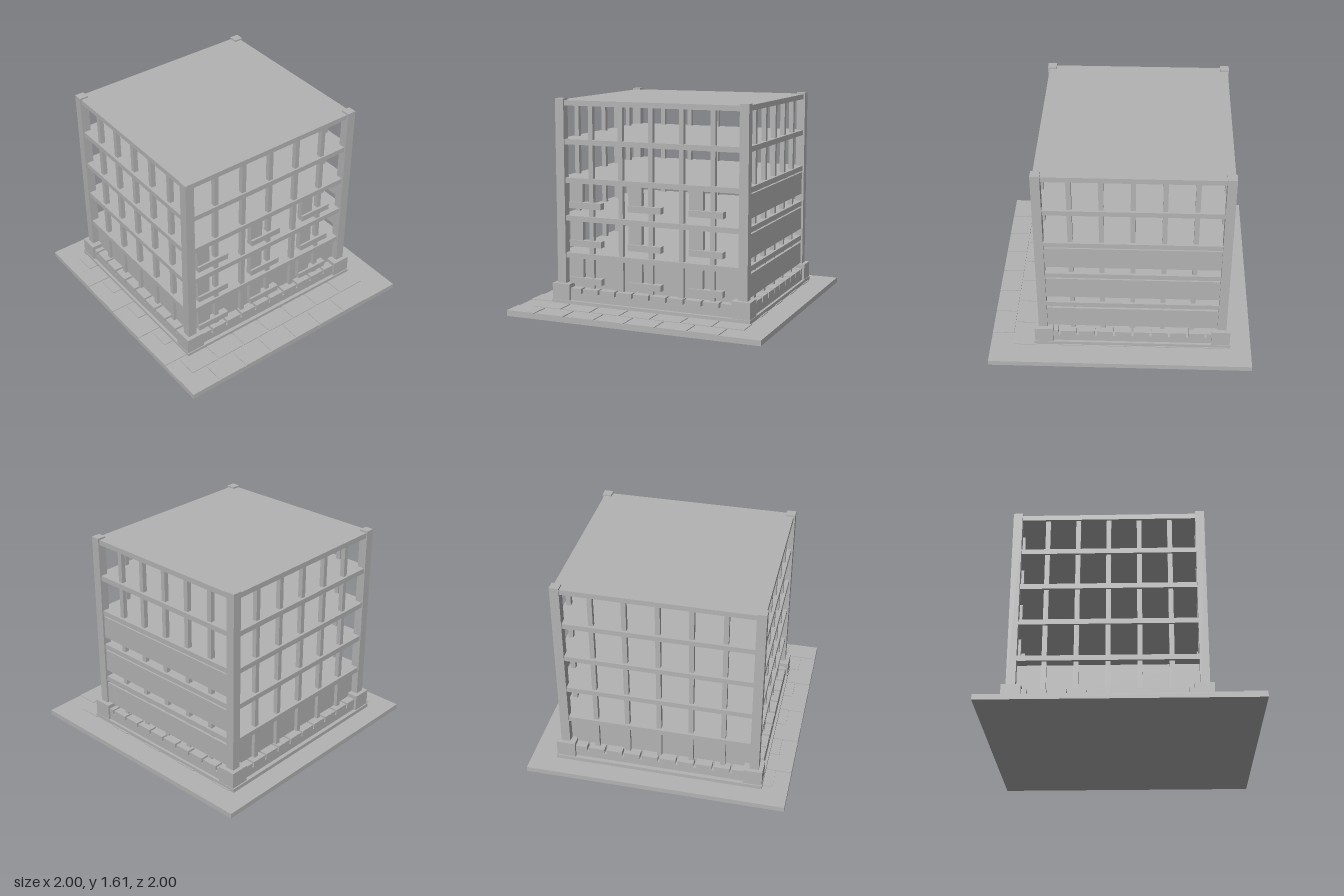
import * as THREE from 'three';

export function createModel() {
  const model = new THREE.Group();
  model.name = 'concreteFrameBuilding';
  const concrete = new THREE.MeshStandardMaterial({ color: 0xb3b3b3 });
  concrete.name = 'concrete grey';

  // Box from its minimum and maximum corners
  function box(name, x0, x1, y0, y1, z0, z1, parent = model) {
    const mesh = new THREE.Mesh(new THREE.BoxGeometry(x1 - x0, y1 - y0, z1 - z0), concrete);
    mesh.position.set((x0 + x1) / 2, (y0 + y1) / 2, (z0 + z1) / 2);
    mesh.name = name;
    parent.add(mesh);
  }
  function group(name) {
    const g = new THREE.Group();
    g.name = name;
    model.add(g);
    return g;
  }

  const cz = -0.09; // building centre along z

  // Ground plate with staggered paving
  box('groundPlate', -1, 1, 0, 0.04, -1, 1);
  const paving = group('paving');
  for (let row = 0; row < 10; row++) {
    const z = 1 - row * 0.182;
    for (let i = 0; i < 7; i++) {
      const x = -1 + (row % 2) * 0.122 + i * 0.244;
      box('paver', x, x + 0.229, 0.038, 0.046, z - 0.166, z, paving);
    }
  }

  // Plinth, corner blocks and columns
  box('plinth', -0.805, 0.805, 0.04, 0.07, -0.845, 0.663);
  for (const sx of [-1, 1]) {
    for (const sz of [-1, 1]) {
      const bx = sx * 0.729, bz = cz + sz * 0.675;
      box('cornerBlock', bx - 0.073, bx + 0.073, 0.07, 0.197, bz - 0.071, bz + 0.071);
      const x = sx * 0.735, z = cz + sz * 0.682;
      box('column', x - 0.035, x + 0.035, 0.07, 1.61, z - 0.034, z + 0.034);
    }
  }

  // Stone course around the foot, with grooves between the stones
  const course = group('stoneCourse');
  for (const s of [-1, 1]) {
    const zo = cz + s * 0.725, zi = cz + s * 0.655;
    const za = Math.min(zo, zi), zb = Math.max(zo, zi);
    const xa = s > 0 ? 0.715 : -0.785, xb = s > 0 ? 0.785 : -0.715;
    box('frontBackCourse', -0.656, 0.656, 0.07, 0.125, za, zb, course);
    box('sideCourse', xa, xb, 0.07, 0.125, cz - 0.61, cz + 0.61, course);
    for (let i = 0; i < 10; i++) {
      const a = -0.7 + i * 0.14 + 0.008, b = a + 0.124;
      box('stone', Math.max(a, -0.656), Math.min(b, 0.656), 0.125, 0.165, za, zb, course);
      const c = Math.max(a, -0.61), d = Math.min(b, 0.61);
      box('stone', xa, xb, 0.125, 0.165, cz + c, cz + d, course);
    }
  }

  // Floor slabs and roof
  for (const top of [0.435, 0.722, 1.012, 1.305, 1.597]) {
    box('floorSlab', -0.757, 0.757, top - 0.04, top, cz - 0.708, cz + 0.702);
  }

  // Slender posts between the columns on all four sides
  const posts = group('posts');
  for (let i = -2; i <= 2; i++) {
    for (const s of [-1, 1]) {
      const x = i * 0.245, z = cz + s * 0.671;
      box('facadePost', x - 0.018, x + 0.018, 0.07, 1.56, z - 0.018, z + 0.018, posts);
      const px = s * 0.72, pz = cz + i * 0.2275;
      box('sidePost', px - 0.018, px + 0.018, 0.07, 1.56, pz - 0.018, pz + 0.018, posts);
    }
  }

  // Ground floor walls behind the posts
  box('frontWall', -0.7, 0.7, 0.07, 0.397, cz + 0.652, cz + 0.66);
  box('backWall', -0.7, 0.7, 0.07, 0.397, cz - 0.66, cz - 0.652);
  box('sideWall', -0.715, -0.705, 0.07, 0.375, cz - 0.652, cz + 0.652);

  // Parapet panels on one side, L-shaped brackets on the front
  for (const base of [0.2, 0.49, 0.782]) {
    const top = base === 0.2 ? 0.375 : base + 0.178;
    box('sidePanel', 0.738, 0.754, base, top, cz - 0.65, cz + 0.65);
    for (const x of [-0.667, -0.178, 0.31]) {
      box('bracketUpright', x, x + 0.107, base, base + 0.195, 0.562, 0.604);
      box('bracketFoot', x, x + 0.267, base, base + 0.048, 0.562, 0.62);
    }
  }
  return model;
}
